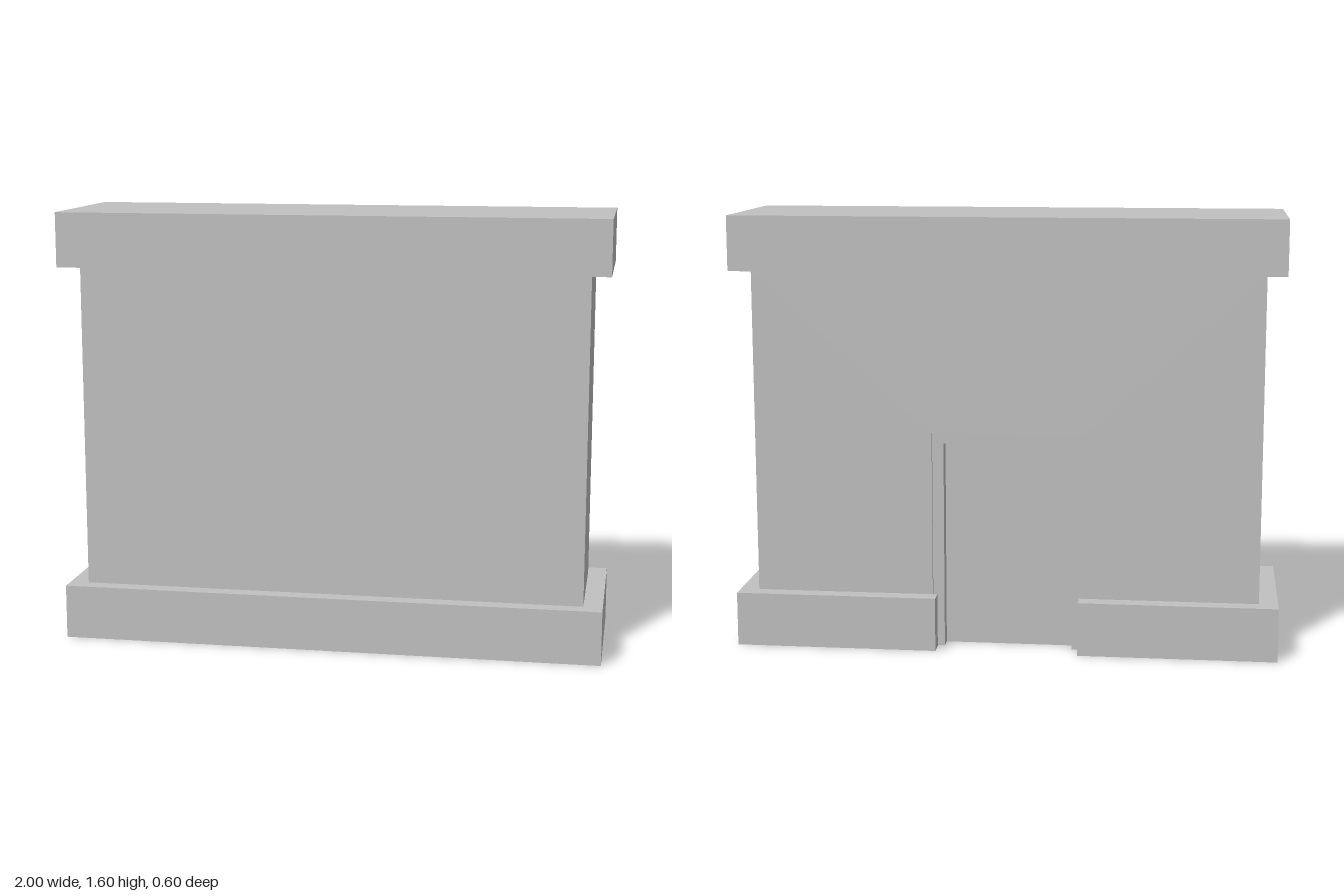
import * as THREE from 'three';

const stone = new THREE.MeshStandardMaterial({ color: 0xc0c0c0, side: THREE.DoubleSide });
stone.name = 'plain grey';

// Main sizes: wall and plinth half extents, heights
const WX = 0.93, WZ = 0.24, PX = 1, PZ = 0.3;
const PLINTH = 0.2, CAP = 1.4, TOP = 1.6;

// Doorway in the back: [x low, x high, top]
const GAP = [-0.272, 0.254];
const HOLE = [-0.286, 0.271, 0.81];
const OPENING = [-0.246, 0.229, 0.77];
const FRAME_Z = -0.228, DOOR_Z = -0.178;

const at = (y, pts) => pts.map(([x, z]) => [x, y, z]);
const ring = (x, z, y) => at(y, [[-x, z], [x, z], [x, -z], [-x, -z], [-x, z]]);
const arch = ([lo, hi, top], z) => [[hi, 0, z], [hi, top, z], [lo, top, z], [lo, 0, z]];

// Flat-faced skin through successive cross-sections
function loft(...sections) {
  const pos = [];
  for (let s = 0; s < sections.length - 1; s++) {
    const a = sections[s], b = sections[s + 1];
    for (let i = 0; i < a.length - 1; i++) {
      pos.push(...a[i], ...a[i + 1], ...b[i + 1], ...a[i], ...b[i + 1], ...b[i]);
    }
  }
  const g = new THREE.BufferGeometry();
  g.setAttribute('position', new THREE.Float32BufferAttribute(pos, 3));
  g.computeVertexNormals();
  return g;
}

// Flat panel facing the back, outlined in x and y
function backPanel(points, z) {
  const shape = new THREE.Shape(points.map(([x, y]) => new THREE.Vector2(-x, y)));
  return new THREE.ShapeGeometry(shape).rotateY(Math.PI).translate(0, 0, z);
}

export function createModel() {
  const group = new THREE.Group();
  const add = (name, geometry) => {
    const mesh = new THREE.Mesh(geometry, stone);
    mesh.name = name;
    group.add(mesh);
  };

  // Plinth: open-bottomed skirt, interrupted by the doorway
  const skirt = [
    [HOLE[0], -WZ], [GAP[0], -WZ], [GAP[0], -PZ], [-PX, -PZ], [-PX, PZ],
    [PX, PZ], [PX, -PZ], [GAP[1], -PZ], [GAP[1], -WZ], [HOLE[1], -WZ],
  ];
  add('plinthSides', loft(at(0, skirt), at(PLINTH, skirt)));
  const ledgeInner = [
    [GAP[0], -WZ], [-WX, -WZ], [-WX, WZ], [WX, WZ], [WX, -WZ], [GAP[1], -WZ],
  ];
  add('plinthLedge', loft(at(PLINTH, skirt.slice(2, 8)), at(PLINTH, ledgeInner)));

  // Wall: front and ends in one strip, then the notched back
  const walls = [[-WX, -WZ], [-WX, WZ], [WX, WZ], [WX, -WZ]];
  add('frontAndEndWalls', loft(at(PLINTH, walls), at(CAP, walls)));
  add('backWall', backPanel([
    [WX, PLINTH], [HOLE[1], PLINTH], [HOLE[1], HOLE[2]], [HOLE[0], HOLE[2]],
    [HOLE[0], PLINTH], [-WX, PLINTH], [-WX, CAP], [WX, CAP],
  ], -WZ));

  // Stepped door frame and recessed door
  add('doorFrame', loft(
    arch(OPENING, DOOR_Z), arch(OPENING, FRAME_Z), arch(HOLE, FRAME_Z), arch(HOLE, -WZ),
  ));
  const [lo, hi, top] = OPENING;
  add('door', backPanel([[hi, 0], [lo, 0], [lo, top], [hi, top]], DOOR_Z));

  // Overhanging cap
  add('capSides', loft(ring(WX, WZ, CAP), ring(PX, PZ, CAP), ring(PX, PZ, TOP)));
  add('capTop', new THREE.PlaneGeometry(2 * PX, 2 * PZ).rotateX(-Math.PI / 2).translate(0, TOP, 0));

  return group;
}
